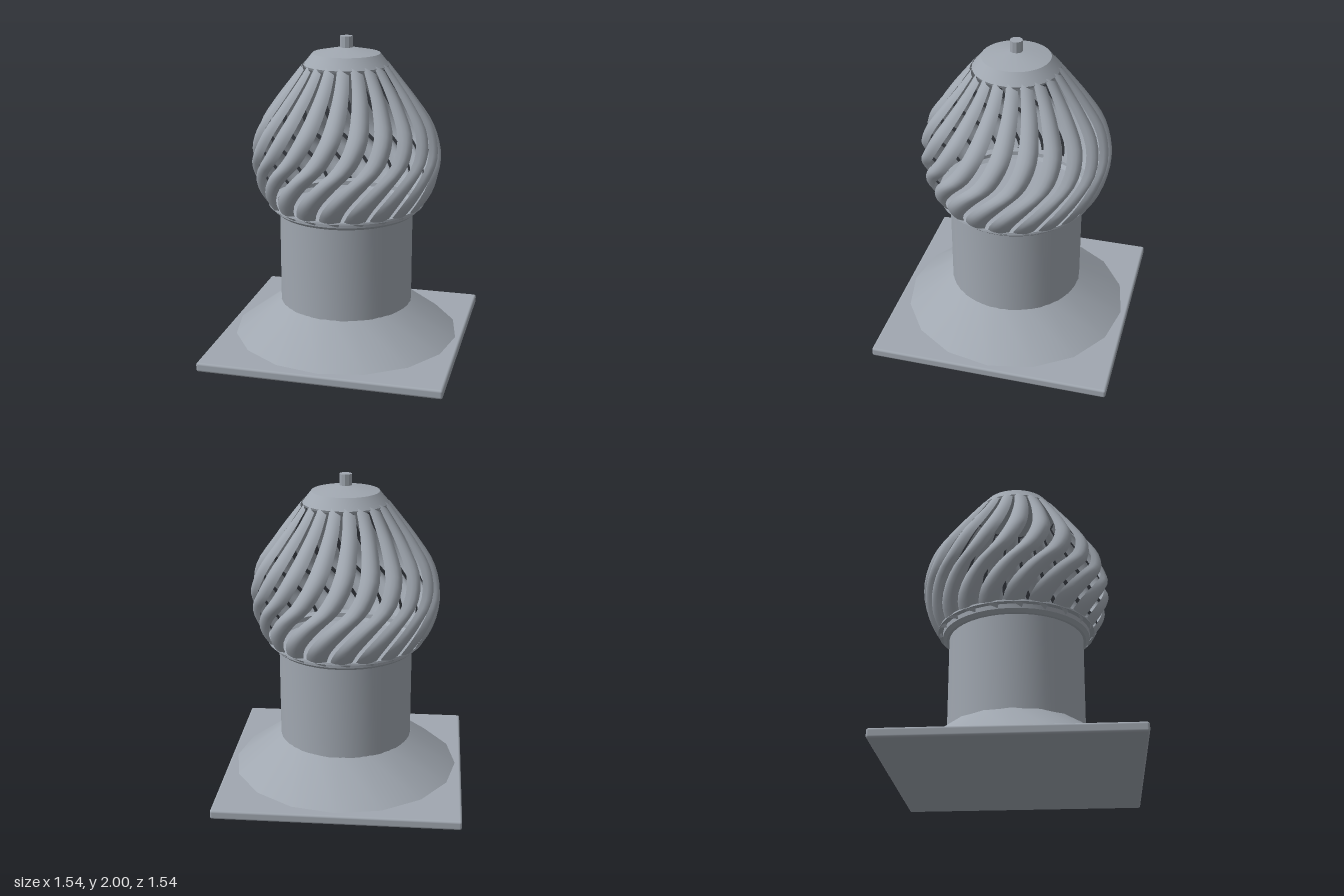
import * as THREE from 'three';
import { toCreasedNormals } from 'three/addons/utils/BufferGeometryUtils.js';
import { RoundedBoxGeometry } from 'three/addons/geometries/RoundedBoxGeometry.js';

const BLADES = 20;
const STEP = (Math.PI * 2) / BLADES;

// Blade centre line: x = radius, y = height, z = twist in degrees
const spine = new THREE.CatmullRomCurve3([
  [0.475, 0.905, -45], [0.555, 1.03, -39], [0.595, 1.17, -27], [0.596, 1.3, -14],
  [0.55, 1.45, -6], [0.45, 1.6, -2], [0.35, 1.73, 0], [0.255, 1.85, 0],
].map(p => new THREE.Vector3(...p)), false, 'catmullrom', 0.5);

// One twisted, outward-bulging blade strip
function bladeGeometry() {
  const rows = 20, cols = 6, pos = [], index = [];
  for (let j = 0; j <= rows; j++) {
    const v = j / rows;
    const width = STEP * (0.76 + 0.1 * Math.abs(2 * v - 1));
    const bulge = 0.012 + 0.025 * Math.sin(Math.PI * v);
    for (let i = 0; i <= cols; i++) {
      const u = i / cols - 0.5;
      const p = spine.getPoint(0.03 + 0.94 * v - 0.05 * u);
      const r = p.x - bulge * 4 * u * u;
      const a = THREE.MathUtils.degToRad(p.z) + u * width;
      pos.push(r * Math.sin(a), p.y, r * Math.cos(a));
      if (i < cols && j < rows) {
        const k = j * (cols + 1) + i, n = k + cols + 1;
        index.push(k, k + 1, n + 1, k, n + 1, n);
      }
    }
  }
  const g = new THREE.BufferGeometry();
  g.setAttribute('position', new THREE.Float32BufferAttribute(pos, 3));
  g.setIndex(index);
  g.computeVertexNormals();
  return g;
}

export function createModel() {
  const group = new THREE.Group();
  const metal = new THREE.MeshStandardMaterial({ color: 0xa0a7b0, side: THREE.DoubleSide });
  metal.name = 'galvanised grey';

  const add = (name, geometry, parent = group) => {
    const mesh = new THREE.Mesh(geometry, metal);
    mesh.name = name;
    parent.add(mesh);
    return mesh;
  };
  const lathe = (name, points, sides) => add(name, toCreasedNormals(
    new THREE.LatheGeometry(points.map(p => new THREE.Vector2(...p)), sides), 0.45));

  // Square base plate with softened edges
  add('basePlate', new RoundedBoxGeometry(1.54, 0.06, 1.54, 2, 0.015)).position.y = 0.035;
  group.getObjectByName('basePlate').position.y = 0.03;
  group.getObjectByName('basePlate').scale.y = 1;

  // Flared skirt and straight neck
  lathe('skirt', [[0.73, 0.06], [0.43, 0.283]], 16);
  lathe('neck', [[0.427, 0.05], [0.427, 0.89], [0, 0.89]], 40);

  // Stepped ring under the blades
  lathe('lowerRing', [[0.42, 0.885], [0.445, 0.885], [0.468, 0.905], [0.47, 0.933],
    [0.5, 0.936], [0.498, 0.948], [0.44, 0.95]], 40);

  // Twisted blades
  const turbine = new THREE.Group();
  turbine.name = 'turbine';
  group.add(turbine);
  const blade = bladeGeometry();
  for (let i = 0; i < BLADES; i++) {
    add('blade', blade, turbine).rotation.y = (i + 0.5) * STEP;
  }

  // Cap and shaft stub
  lathe('cap', [[0, 1.81], [0.262, 1.81], [0.268, 1.825], [0.212, 1.895], [0.04, 1.93], [0, 1.93]], 40);
  const shaft = new THREE.CylinderGeometry(0.04, 0.04, 0.09, 10);
  add('shaft', toCreasedNormals(shaft, 0.45)).position.y = 1.955;

  return group;
}
